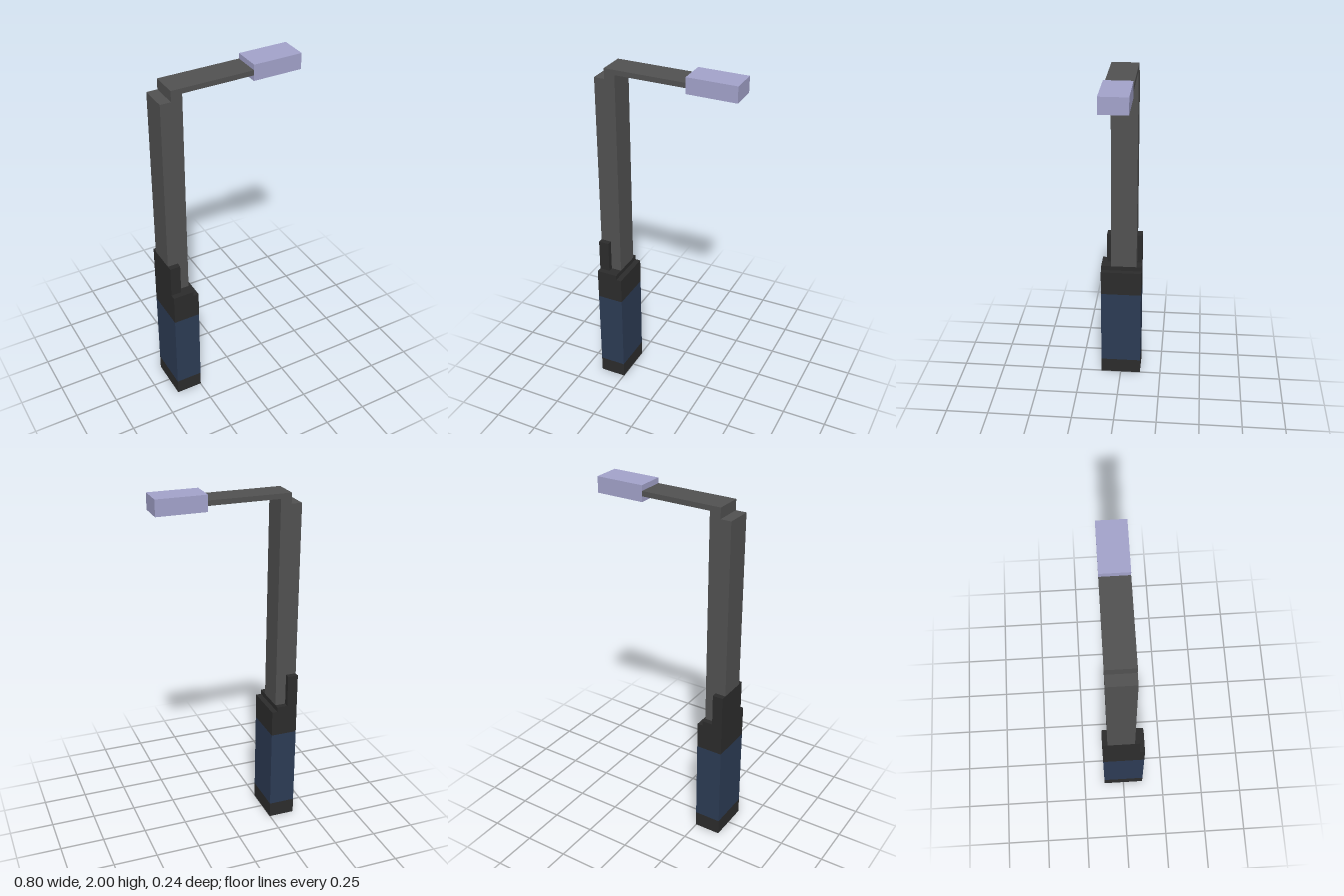
import * as THREE from 'three';

const mat = (name, color) => {
  const m = new THREE.MeshStandardMaterial({ color });
  m.name = name;
  return m;
};

export function createModel() {
  const group = new THREE.Group();
  const black = mat('black', 0x2c2c2c);
  const navy = mat('navy', 0x2c3b54);
  const grey = mat('grey', 0x515151);
  const lilac = mat('lilac', 0xa2a2ca);

  const add = (name, geometry, material) => {
    const mesh = new THREE.Mesh(geometry, material);
    mesh.name = name;
    group.add(mesh);
  };
  // Box given by its limits on each axis
  const box = (name, material, [x0, x1], [y0, y1], [z0, z1]) =>
    add(name, new THREE.BoxGeometry(x1 - x0, y1 - y0, z1 - z0)
      .translate((x0 + x1) / 2, (y0 + y1) / 2, (z0 + z1) / 2), material);
  // Side profile in x and y, extruded through the pole depth
  const profile = (name, material, points) => {
    const shape = new THREE.Shape(points.map(([x, y]) => new THREE.Vector2(x, y)));
    add(name, new THREE.ExtrudeGeometry(shape, { depth: 0.153, bevelEnabled: false })
      .translate(0, 0, -0.092), material);
  };

  // Handle: black ends around a navy grip
  const hx = [-0.4, -0.248], hz = [-0.122, 0.122];
  box('handleBase', black, hx, [0, 0.09], hz);
  box('handleGrip', navy, hx, [0.09, 0.56], hz);
  box('handleTop', black, hx, [0.56, 0.71], hz);
  box('collar', black, [-0.4, -0.279], [0.71, 0.738], hz);
  box('backPlate', black, [-0.4, -0.34], [0.738, 0.922], [-0.122, 0.091]);

  // Pole, notched at the foot to take the back plate
  profile('pole', grey, [[-0.34, 0.738], [-0.279, 0.738], [-0.279, 1.911],
    [-0.4, 1.911], [-0.4, 0.922], [-0.34, 0.922]]);

  // Bent arm and head
  profile('arm', grey, [[-0.34, 1.911], [-0.279, 1.911], [-0.279, 1.942],
    [0.121, 1.942], [0.121, 1.97], [-0.34, 1.97]]);
  box('head', lilac, [0.121, 0.4], [1.911, 2], [-0.092, 0.061]);

  return group;
}
